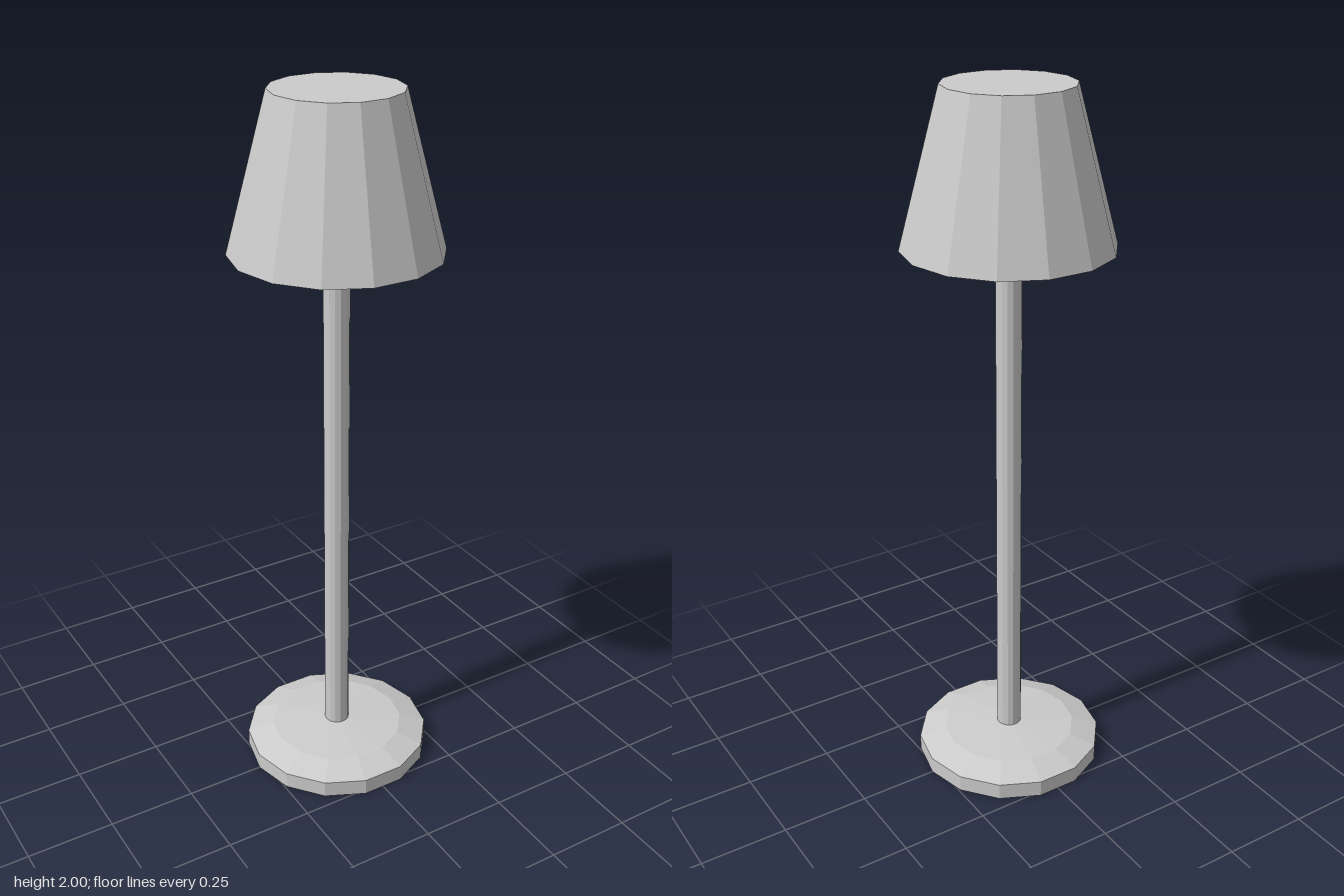
import * as THREE from 'three';

const SIDES = 14;

export function createModel() {
  const model = new THREE.Group();
  model.name = 'tableLamp';
  const material = new THREE.MeshStandardMaterial({ color: 0xcccccc, flatShading: true });

  // Turns a [radius, height] profile, with a corner on the x axis
  const turned = (name, profile) => {
    const points = profile.map(([r, y]) => new THREE.Vector2(r, y));
    const mesh = new THREE.Mesh(new THREE.LatheGeometry(points, SIDES, Math.PI / 2), material);
    mesh.name = name;
    model.add(mesh);
  };

  // Foot: low disc with a bevelled, slightly domed top
  turned('base', [[0, 0], [0.272, 0], [0.272, 0.048], [0.195, 0.075], [0.036, 0.087], [0, 0.087]]);

  // Pole: runs up to the inside of the shade
  turned('pole', [[0, 0.08], [0.036, 0.08], [0.036, 1.97], [0, 1.97]]);

  // Shade: closed on top, hollow underneath with a thick rim
  turned('shade', [[0, 1.96], [0.148, 1.96], [0.248, 1.578], [0.288, 1.578], [0.176, 2], [0, 2]]);

  return model;
}
